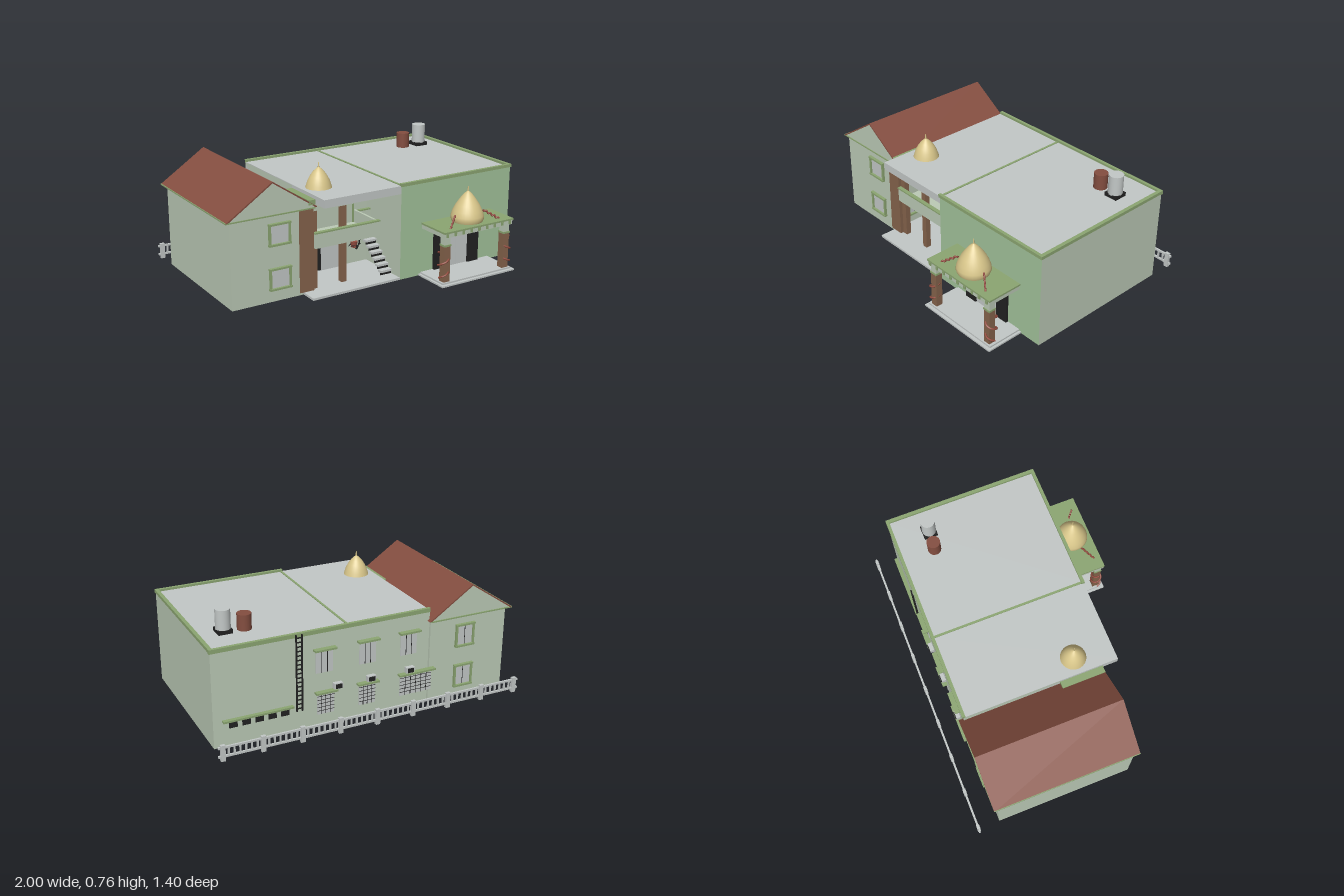
import * as THREE from 'three';

const mat = (name, color) => Object.assign(new THREE.MeshStandardMaterial({ color }), { name });

export function createModel() {
  const root = new THREE.Group();
  root.name = 'building';
  const wall = mat('pale green wall', 0xbccab6), green = mat('front green', 0xa3c39b);
  const trim = mat('olive trim', 0x8ca672), grey = mat('light grey', 0xc3c8c7);
  const tile = mat('red brown roof', 0x844e40), brown = mat('column brown', 0x86644c);
  const gold = mat('gold', 0xd8c68a), black = mat('black', 0x222222);
  const red = mat('carving red', 0x984f42);

  const add = (name, geo, m, parent = root) => {
    const mesh = new THREE.Mesh(geo, m);
    mesh.name = name;
    parent.add(mesh);
    return mesh;
  };
  const group = (name) => {
    const g = new THREE.Group();
    g.name = name;
    root.add(g);
    return g;
  };
  // box given by its limits on each axis
  const box = (name, m, x0, x1, y0, y1, z0, z1, parent = root) => {
    const b = add(name, new THREE.BoxGeometry(x1 - x0, y1 - y0, z1 - z0), m, parent);
    b.position.set((x0 + x1) / 2, (y0 + y1) / 2, (z0 + z1) / 2);
    return b;
  };
  const prism = (name, m, pts, z0, z1) => {
    const shape = new THREE.Shape(pts.map((p) => new THREE.Vector2(...p)));
    const geo = new THREE.ExtrudeGeometry(shape, { depth: z1 - z0, bevelEnabled: false });
    return add(name, geo.translate(0, 0, z0), m);
  };

  // main hall and the set-back middle block
  box('mainHall', [wall, wall, wall, wall, green, wall], 0.12, 0.975, 0, 0.6, -0.555, 0.45);
  box('middleBlock', wall, -0.42, 0.12, 0, 0.6, -0.555, 0.07);
  box('mainRoof', grey, 0.13, 0.96, 0.6, 0.606, -0.545, 0.44);
  box('middleRoof', grey, -0.42, 0.12, 0.555, 0.605, -0.545, 0.45);
  box('roofJoint', trim, 0.118, 0.132, 0.6, 0.61, -0.55, 0.45);
  box('backParapet', trim, -0.42, 0.98, 0.595, 0.62, -0.562, -0.542);
  box('frontParapet', trim, 0.115, 0.98, 0.6, 0.62, 0.437, 0.457);
  box('sideParapet', trim, 0.957, 0.98, 0.6, 0.62, -0.56, 0.457);

  // gabled wing
  box('wing', wall, -0.97, -0.43, 0, 0.535, -0.555, 0.07);
  box('wingFront', wall, -0.97, -0.5, 0, 0.535, 0.07, 0.335);
  box('eaveBoard', trim, -1, -0.42, 0.53, 0.538, -0.585, 0.35);
  prism('gable', wall, [[-0.985, 0.538], [-0.42, 0.538], [-0.7, 0.727]], -0.578, 0.345);
  prism('wingRoof', tile, [[-1, 0.535], [-0.985, 0.535], [-0.7, 0.725], [-0.42, 0.538], [-0.405, 0.538],
    [-0.7, 0.735]], -0.585, 0.35);
  box('gutterCap', trim, -0.465, -0.42, 0.555, 0.584, 0.07, 0.35);
  box('cornerPier', brown, -0.525, -0.43, 0.015, 0.55, 0.27, 0.342);

  // framed window: local x is across, local z points out of the wall
  const windowAt = (name, x, y, z, w, h, turn, frame = true, bars = 2) => {
    const g = group(name);
    g.position.set(x, y, z);
    g.rotation.y = turn;
    box('pane', grey, -w / 2, w / 2, -h / 2, h / 2, 0, 0.005, g);
    for (let i = 1; i < bars; i++) {
      const bx = -w / 2 + (w * i) / bars;
      box('mullion', black, bx - 0.0015, bx + 0.0015, -h / 2, h / 2, 0.004, 0.007, g);
    }
    if (!frame) return g;
    for (const s of [-1, 1]) {
      box('jamb', trim, s * w / 2 - 0.006, s * w / 2 + 0.006, -h / 2, h / 2, 0, 0.016, g);
      box('rail', trim, -w / 2 - 0.008, w / 2 + 0.008, s * h / 2 - 0.006, s * h / 2 + 0.006, 0, 0.02, g);
    }
    return g;
  };
  for (const y of [0.142, 0.415]) {
    windowAt('wingFrontWindow', -0.657, y, 0.335, 0.13, 0.125, 0, true, 1);
    windowAt('wingBackWindow', -0.675, y - 0.015, -0.555, 0.12, 0.14, Math.PI);
    windowAt('wingSideWindow', -0.5, y, 0.17, 0.1, 0.125, Math.PI / 2);
  }

  // porch with balcony
  box('porchFloor', grey, -0.5, 0.12, 0, 0.014, 0.07, 0.45);
  for (const x of [-0.412, -0.205]) box('porchColumn', brown, x - 0.018, x + 0.018, 0.014, 0.505, 0.285, 0.32);
  box('porchBeam', wall, -0.42, 0.12, 0.505, 0.555, 0.28, 0.325);
  box('balconyFloor', wall, -0.42, 0.03, 0.275, 0.29, 0.07, 0.345);
  box('balconyFront', wall, -0.425, 0.035, 0.28, 0.37, 0.33, 0.348);
  box('balconySide', wall, 0.02, 0.035, 0.28, 0.37, 0.07, 0.33);
  box('balconyRail', trim, -0.427, 0.037, 0.368, 0.377, 0.326, 0.352);
  box('landingPanel', wall, 0.035, 0.12, 0.28, 0.37, 0.1, 0.115);
  box('landingRail', trim, 0.035, 0.12, 0.368, 0.377, 0.097, 0.118);
  for (const [x0, x1, y0, y1] of [[-0.33, 0.02, 0.48, 0.488], [-0.33, -0.322, 0.29, 0.48], [0.012, 0.02, 0.29, 0.48]])
    box('balconyDoorFrame', trim, x0, x1, y0, y1, 0.07, 0.08);
  box('porchDoorFrame', black, -0.25, -0.06, 0.014, 0.22, 0.07, 0.08);
  box('porchDoor', grey, -0.228, -0.088, 0.014, 0.21, 0.08, 0.086);
  for (let i = 0; i < 8; i++) {
    const y = 0.03 + i * 0.03, z = 0.36 - i * 0.034;
    box('stairTread', grey, 0.04, 0.12, y, y + 0.014, z - 0.036, z);
    box('stairRiser', black, 0.042, 0.12, y - 0.016, y, z - 0.012, z - 0.006);
  }
  // potted shrubs beside the porch door
  for (const x of [-0.355, 0]) {
    const g = group('shrub');
    add('pot', new THREE.CylinderGeometry(0.025, 0.018, 0.04, 10), red, g).position.set(x, 0.155, 0.11);
    for (let i = 0; i < 9; i++) {
      const leaf = add('leaf', new THREE.ConeGeometry(0.009, 0.05, 4), black, g);
      leaf.position.set(x + 0.04 * Math.cos(i * 2.4), 0.17 + 0.03 * Math.sin(i * 1.7), 0.11 + 0.015 * Math.sin(i * 2.4));
      leaf.rotation.set(i, 0, i * 1.3);
    }
  }

  // entrance portico
  box('porticoStep', grey, 0.26, 0.83, 0, 0.01, 0.45, 0.7);
  box('porticoFloor', grey, 0.275, 0.815, 0.01, 0.02, 0.45, 0.68);
  for (const x of [0.312, 0.775]) {
    box('porticoColumn', brown, x - 0.023, x + 0.023, 0.02, 0.25, 0.625, 0.67);
    box('capitalRing', trim, x - 0.026, x + 0.026, 0.248, 0.26, 0.622, 0.673);
    box('capital', wall, x - 0.022, x + 0.022, 0.26, 0.31, 0.627, 0.668);
  }
  box('canopy', wall, 0.28, 0.81, 0.307, 0.335, 0.45, 0.68);
  box('canopyTop', trim, 0.275, 0.815, 0.335, 0.346, 0.45, 0.685);
  for (let i = 0; i < 9; i++) {
    const x = 0.3 + i * 0.061;
    box('dentil', trim, x - 0.008, x + 0.008, 0.312, 0.335, 0.68, 0.686);
  }
  box('portalLeft', black, 0.635, 0.72, 0.02, 0.28, 0.45, 0.468);
  box('portalRight', black, 0.37, 0.455, 0.02, 0.28, 0.45, 0.468);
  box('portalLintel', black, 0.455, 0.635, 0.22, 0.28, 0.45, 0.468);
  for (const s of [-1, 1]) box('doorLeaf', grey, 0.545 + s * 0.046 - 0.0445, 0.545 + s * 0.046 + 0.0445, 0.02, 0.22, 0.45, 0.458);

  // carved serpents around the columns and beside the dome
  for (const s of [-1, 1]) {
    const coil = [], crest = [];
    for (let i = 0; i <= 16; i++) {
      const a = i * 0.8, t = i / 16;
      coil.push(new THREE.Vector3(0.544 + s * (0.245 + 0.032 * Math.cos(a)), 0.05 + 0.17 * t, 0.647 + 0.032 * Math.sin(a)));
      crest.push(new THREE.Vector3(0.544 + s * (0.19 - 0.08 * t), 0.345 + 0.055 * t + 0.006 * Math.sin(a * 2), 0.64 - 0.06 * t));
    }
    for (const pts of [coil, crest])
      add('serpentCarving', new THREE.TubeGeometry(new THREE.CatmullRomCurve3(pts), 60, 0.006, 6), red);
  }

  // onion domes
  const dome = (name, x, y, z, r, h, profile) => {
    const pts = profile.map(([a, b]) => new THREE.Vector2(a * r, b * h));
    const d = add(name, new THREE.LatheGeometry(pts, 32), gold);
    d.position.set(x, y, z);
    add(name + 'Finial', new THREE.CylinderGeometry(0.003, 0.006, 0.045, 8), gold).position.set(x, y + h + 0.003, z);
  };
  dome('porticoDome', 0.545, 0.345, 0.56, 0.104, 0.195,
    [[0.93, 0], [1, 0.1], [0.98, 0.2], [0.88, 0.36], [0.7, 0.55], [0.46, 0.74], [0.22, 0.9], [0, 1]]);
  dome('roofDome', -0.31, 0.604, 0.2, 0.081, 0.128,
    [[1, 0], [0.93, 0.15], [0.82, 0.35], [0.66, 0.55], [0.44, 0.75], [0.2, 0.91], [0, 1]]);

  // roof tanks
  add('brownTank', new THREE.CylinderGeometry(0.043, 0.043, 0.1, 20), tile).position.set(0.685, 0.655, -0.335);
  add('greyTank', new THREE.CylinderGeometry(0.045, 0.045, 0.125, 24), grey).position.set(0.81, 0.689, -0.325);
  box('tankStand', black, 0.766, 0.854, 0.6, 0.63, -0.37, -0.282);

  // rear windows with awnings and cooling units
  for (const x of [0.283, 0, -0.278]) {
    windowAt('upperBackWindow', x, 0.412, -0.555, 0.11, 0.14, Math.PI, false, 3);
    box('upperAwning', trim, x - 0.07, x + 0.07, 0.488, 0.5, -0.588, -0.555);
  }
  for (const [x, w] of [[0.275, 0.11], [0, 0.11], [-0.335, 0.22]]) {
    const g = windowAt('lowerBackWindow', x, 0.142, -0.555, w, 0.14, Math.PI, false, w > 0.2 ? 6 : 4);
    for (let j = 1; j < 6; j++)
      box('grilleBar', black, -w / 2, w / 2, -0.0715 + j * 0.0235, -0.069 + j * 0.0235, 0.004, 0.007, g);
    box('lowerAwning', trim, x - w / 2 - 0.015, x + w / 2 + 0.015, 0.212, 0.224, -0.588, -0.555);
  }
  for (const x of [0.2, -0.02, -0.285]) {
    box('coolingUnit', grey, x - 0.028, x + 0.028, 0.226, 0.262, -0.582, -0.555);
    box('coolingGrille', black, x - 0.02, x + 0.02, 0.23, 0.257, -0.587, -0.582);
  }
  box('longLedge', trim, 0.485, 0.92, 0.16, 0.172, -0.58, -0.555);
  for (let i = 0; i < 5; i++) box('ventWindow', black, 0.51 + i * 0.08, 0.56 + i * 0.08, 0.115, 0.15, -0.562, -0.555);

  // roof ladder
  const ladder = group('ladder');
  for (const x of [0.43, 0.465]) box('ladderRail', black, x - 0.004, x + 0.004, 0.13, 0.615, -0.575, -0.566, ladder);
  for (let i = 0; i < 17; i++) box('rung', black, 0.43, 0.465, 0.145 + i * 0.028, 0.151 + i * 0.028, -0.574, -0.567, ladder);

  // rear fence
  const fence = group('fence');
  for (const y of [0.022, 0.078]) box('fenceRail', grey, -1, 1, y, y + 0.012, -0.701, -0.689, fence);
  for (let i = 0; i < 9; i++) {
    const x = -0.972 + i * 0.243;
    box('fencePost', grey, x - 0.014, x + 0.014, 0, 0.1, -0.705, -0.685, fence);
    for (let j = 1; j < 7 && i < 8; j++) {
      const bx = x + j * 0.0347;
      box('baluster', grey, bx - 0.005, bx + 0.005, 0.03, 0.08, -0.7, -0.69, fence);
    }
  }
  return root;
}
